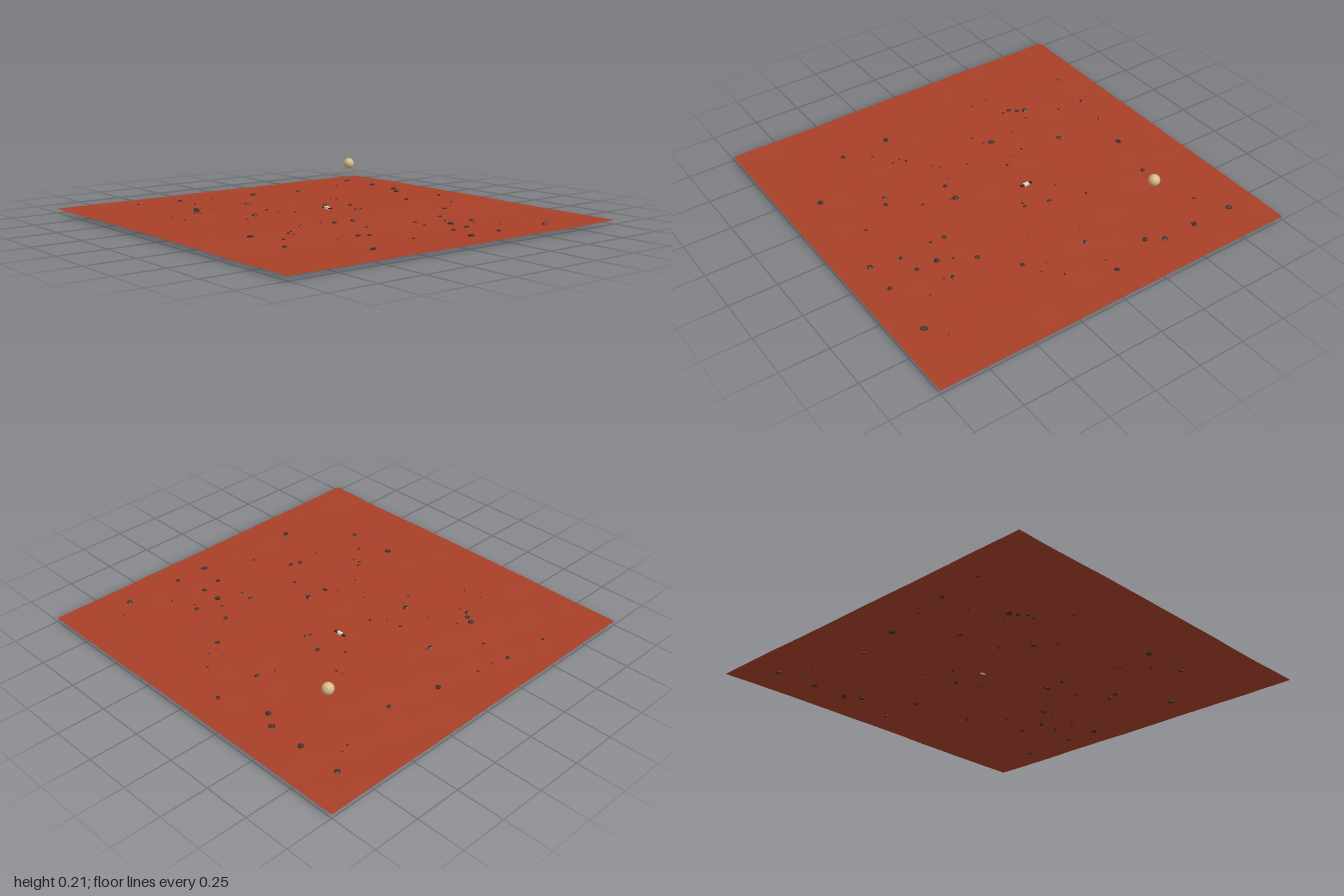
import * as THREE from 'three';

const mat = (name, color, extra = {}) => {
  const m = new THREE.MeshStandardMaterial({ color, ...extra });
  m.name = name;
  return m;
};

// gently rolling desert height
const heightAt = (x, z) => 0.023
  + 0.003 * Math.cos(2.6 * x + 0.3) * Math.cos(1.1 * z)
  - 0.003 * Math.exp(-((x - 0.7) ** 2) * 8)
  + 0.0015 * Math.sin(7 * x + 4 * z) * Math.cos(5 * z - 2 * x)
  + 0.0007 * Math.sin(19 * x - 8 * z) * Math.sin(16 * z + 5 * x);

// centres (x, z) of the larger rocks
const boulders = [
  [-0.83, -0.8], [-0.6, -0.8], [-0.41, -0.8], [-0.33, -0.75], [0.86, -0.65], [-0.74, -0.05],
  [0.85, -0.16], [0.57, -0.3], [-0.18, 0.33], [0.81, 0.4], [-0.5, 0.47], [0.27, 0.67], [0.24, 0.04],
];
const stones = [
  [-0.08, -0.84], [-0.08, -0.6], [0.26, -0.56], [-0.68, -0.32], [0.4, -0.39], [0.57, -0.44],
  [0.68, -0.3], [0.85, -0.34], [0.45, -0.18], [0.7, -0.19], [-0.13, -0.25], [0.23, 0.15],
  [-0.5, 0.16], [0.55, 0.2], [0.53, 0.25], [-0.46, 0.49], [-0.43, 0.52], [0.53, 0.67], [-0.82, 0.37],
];

// small seeded generator for the pebbles
const seeded = (seed) => () => {
  seed = (seed * 16807) % 2147483647;
  return seed / 2147483647;
};

export function createModel() {
  const model = new THREE.Group();
  model.name = 'desertScene';
  const soil = mat('rust soil', 0xa84028, { side: THREE.DoubleSide });
  const stone = mat('dark stone', 0x40302a, { flatShading: true });
  const tan = mat('pale tan', 0xd6b88a);
  const shell = mat('off white', 0xe2dccb);
  const dark = mat('dark panel', 0x2a2624);

  const add = (name, geometry, material, x, y, z, parent = model) => {
    const mesh = new THREE.Mesh(geometry, material);
    mesh.name = name;
    mesh.position.set(x, y, z);
    parent.add(mesh);
    return mesh;
  };

  // ground sheet
  const ground = new THREE.PlaneGeometry(2, 2, 80, 80).rotateX(-Math.PI / 2);
  const p = ground.attributes.position;
  for (let i = 0; i < p.count; i++) p.setY(i, heightAt(p.getX(i), p.getZ(i)));
  ground.computeVertexNormals();
  add('ground', ground, soil, 0, 0, 0);

  // half-buried rocks
  const rocks = new THREE.Group();
  rocks.name = 'rocks';
  model.add(rocks);
  const rockShape = new THREE.DodecahedronGeometry(1, 0);
  const addRock = (name, x, z, radius) => {
    const rock = add(name, rockShape, stone, x, heightAt(x, z), z, rocks);
    rock.scale.set(radius, radius * 0.6, radius * 0.85);
    rock.rotation.y = rocks.children.length * 2.4;
  };
  for (const [x, z] of boulders) addRock('boulder', x, z, 0.018);
  for (const [x, z] of stones) addRock('stone', x, z, 0.014);

  // pebbles scattered everywhere but the front strip
  const random = seeded(4711);
  for (let i = 0; i < 46; i++) {
    addRock('pebble', -0.85 + 1.7 * random(), -0.85 + 1.53 * random(), 0.004 + 0.006 * random());
  }

  // floating moon
  add('moon', new THREE.SphereGeometry(0.03, 16, 12), tan, -0.53, 0.18, -0.565);

  // small lander with a panel on each side
  const lander = new THREE.Group();
  lander.name = 'lander';
  lander.position.set(-0.112, 0, -0.078);
  model.add(lander);
  add('landerBody', new THREE.BoxGeometry(0.028, 0.014, 0.016), shell, 0, 0.031, 0, lander);
  add('landerLeg', new THREE.CylinderGeometry(0.002, 0.002, 0.026, 6), dark, 0, 0.013, 0, lander);
  for (const side of [-1, 1]) {
    add('sidePanel', new THREE.BoxGeometry(0.021, 0.004, 0.013), dark, side * 0.0245, 0.031, 0, lander);
  }
  return model;
}
